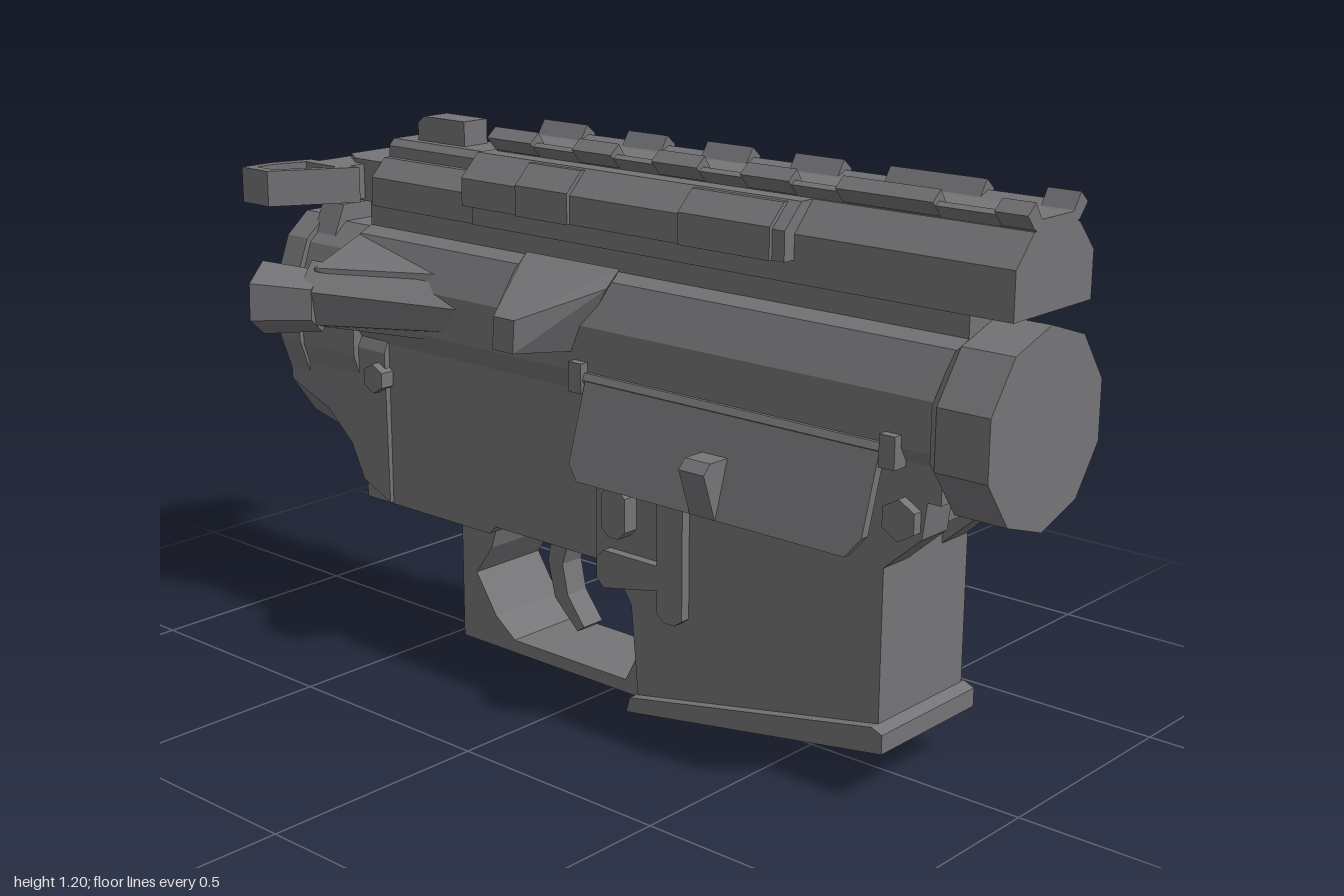
import * as THREE from 'three';
import { ConvexGeometry } from 'three/addons/geometries/ConvexGeometry.js';

const C = -0.025; // z of the middle plane
const V = (p) => new THREE.Vector3(...p);

export function createModel() {
  const model = new THREE.Group();
  const gunmetal = new THREE.MeshStandardMaterial({ color: 0x757578 });
  gunmetal.name = 'gunmetal grey';

  const add = (name, geometry) => {
    const mesh = new THREE.Mesh(geometry, gunmetal);
    mesh.name = name;
    model.add(mesh);
    return mesh;
  };
  const extrude = (pts, depth, hole) => {
    const shape = new THREE.Shape(pts.map((p) => new THREE.Vector2(...p)));
    if (hole) shape.holes.push(new THREE.Path(hole.map((p) => new THREE.Vector2(...p))));
    return new THREE.ExtrudeGeometry(shape, { depth, bevelEnabled: false });
  };
  // Side outline [x, y] from z0 to z1
  const side = (name, pts, z0, z1) => add(name, extrude(pts, z1 - z0).translate(0, 0, z0));
  // Symmetric cross-section, half given as [offset, y], from x0 to x1
  const section = (name, half, x0, x1) => {
    const pts = [...half, ...half.map(([z, y]) => [-z, y]).reverse()];
    return add(name, extrude(pts, x1 - x0).rotateY(Math.PI / 2).translate(x0, 0, C));
  };
  // Plan outline [x, z] from y0 to y1
  const plan = (name, pts, y0, y1, hole) => {
    const flip = (a) => a && a.map(([x, z]) => [x, -z]);
    return add(name, extrude(flip(pts), y1 - y0, flip(hole)).rotateX(-Math.PI / 2).translate(0, y0, 0));
  };
  const hull = (name, pts) => add(name, new ConvexGeometry(pts.map(V)));
  const box = (name, x0, x1, y0, y1, z0, z1) =>
    add(name, new THREE.BoxGeometry(x1 - x0, y1 - y0, z1 - z0)
      .translate((x0 + x1) / 2, (y0 + y1) / 2, (z0 + z1) / 2));
  // Faceted rod between two points
  const rod = (name, a, b, ra, rb, sides) => {
    const dir = V(b).sub(V(a));
    const g = new THREE.CylinderGeometry(rb, ra, dir.length(), sides).toNonIndexed();
    g.computeVertexNormals();
    g.applyQuaternion(new THREE.Quaternion().setFromUnitVectors(V([0, 1, 0]), dir.normalize()));
    const mid = V(a).add(V(b)).multiplyScalar(0.5);
    return add(name, g.translate(mid.x, mid.y, mid.z));
  };
  // Plate with cut corners
  const cutPlate = (name, x0, x1, y0, y1, z0, z1, c) => side(name, [
    [x0 + c, y0], [x1 - c, y0], [x1, y0 + c], [x1, y1 - c],
    [x1 - c, y1], [x0 + c, y1], [x0, y1 - c], [x0, y0 + c]], z0, z1);

  // Upper receiver and front nut
  section('upperReceiver', [[0.07, 0.995], [0.07, 0.935], [0.105, 0.92], [0.155, 0.83],
    [0.155, 0.73], [0.125, 0.68]], -0.77, 0.87);
  const ring = (name, x0, x1, r0, r1) => {
    const pts = [];
    for (let i = 0; i < 10; i++) {
      const a = (i / 10) * Math.PI * 2;
      for (const [x, r] of [[x0, r0], [x1, r1]]) {
        pts.push([x, 0.772 + Math.cos(a) * r, C + Math.sin(a) * r]);
      }
    }
    hull(name, pts);
  };
  ring('frontNut', 0.885, 1, 0.198, 0.198);
  ring('frontNutShoulder', 0.86, 0.885, 0.175, 0.198);
  cutPlate('backSideBump', 0.33, 0.55, 0.8, 0.89, -0.215, -0.12, 0.02);

  // Top rail housing
  section('railHousing', [[0.13, 0.995], [0.13, 1.09], [0.075, 1.15]], -0.37, 1);
  section('railCover', [[0.16, 1.04], [0.16, 1.1], [0.11, 1.15]], -0.37, 0.51);
  for (const [x0, x1] of [[-0.2, -0.05], [0.25, 0.48]]) {
    section('railClip', [[0.168, 1.04], [0.168, 1.105], [0.125, 1.147]], x0, x1);
  }
  section('railStrip', [[0.065, 1.145], [0.092, 1.175], [0.08, 1.182], [0.05, 1.17]], -0.35, 1);
  for (const [x0, x1] of [[-0.35, -0.22], [-0.1, 0.01], [0.12, 0.24], [0.35, 0.47],
    [0.58, 0.8], [0.93, 1]]) {
    for (const s of [-1, 1]) {
      const ear = [[0.05, 1.165], [0.075, 1.203], [0.1, 1.182], [0.075, 1.153]];
      hull('railTooth', ear.flatMap(([z, y]) => [[x0, y, C + s * z], [x1, y, C + s * z]]));
    }
  }

  // Rear sight base and block
  section('sightBase', [[0.125, 0.995], [0.125, 1.06], [0.085, 1.1]], -0.7, -0.36);
  plan('sightBaseTail', [[-0.85, -0.08], [-0.79, -0.12], [-0.69, -0.12], [-0.69, 0.07],
    [-0.79, 0.07], [-0.85, 0.03]], 0.995, 1.09);
  section('sightStep', [[0.07, 1.09], [0.07, 1.125], [0.055, 1.14]], -0.7, -0.36);
  side('sightBlock', [[-0.64, 1.12], [-0.49, 1.12], [-0.49, 1.195], [-0.62, 1.195],
    [-0.64, 1.18]], -0.06, 0.01);

  // Pulling handle: cross bar and two open loops
  box('handleBar', -0.87, -0.76, 1, 1.08, -0.2, 0.14);
  plan('handleLoop', [[-0.89, -0.18], [-0.8, -0.335], [-0.73, -0.335], [-0.73, -0.3], [-0.77, -0.18]],
    1, 1.08, [[-0.855, -0.205], [-0.79, -0.31], [-0.755, -0.31], [-0.795, -0.205]]);
  plan('handleLoop', [[-0.9, 0.11], [-0.93, 0.2], [-0.93, 0.285], [-0.84, 0.285], [-0.73, 0.11]],
    1, 1.08, [[-0.88, 0.14], [-0.905, 0.21], [-0.905, 0.26], [-0.85, 0.26], [-0.775, 0.14]]);

  // Rear of the receiver, lofted towards a chamfered lower heel
  const heel = [[-1, 0.45, 0.54], [-0.87, 0.42, 0.49], [-0.79, 0.36, 0.42],
    [-0.75, 0.295, 0.34], [-0.66, 0.295, 0.3]];
  for (let i = 0; i < heel.length - 1; i++) {
    hull('rearHeel', [heel[i], heel[i + 1]].flatMap(([x, low, edge]) => [-1, 1].flatMap((s) => [
      [x, low, C + s * 0.07], [x, edge, C + s * 0.135], [x, 0.66, C + s * 0.14], [x, 0.7, C + s * 0.12]])));
  }
  const collar = [[0.07, 0.94], [0.13, 0.89], [0.165, 0.8], [0.165, 0.65], [0.13, 0.55]];
  section('rearCollar', collar, -1, -0.93);
  section('rearCollarNeck', collar.map(([z, y]) => [z * 0.93, y - 0.01]), -0.93, -0.75);
  section('rearTab', [[0.1, 0.9], [0.07, 0.97]], -0.94, -0.865);

  // Lower receiver, magazine well and its base flange
  side('lowerReceiver', [[-0.75, 0.71], [-0.75, 0.295], [-0.34, 0.295], [-0.32, 0.315],
    [0.05, 0.315], [0.1, 0.24], [0.2, 0.24], [0.2, 0.71]], -0.16, 0.1);
  side('magazineWell', [[0, 0.7], [0, 0.315], [0.05, 0.315], [0.1, 0.24], [0.12, 0.03],
    [0.745, 0.13], [0.745, 0.7]], -0.172, 0.112);
  side('baseFlange', [[0.105, 0.005], [0.77, 0.11], [0.77, 0.15], [0.745, 0.16], [0.115, 0.04]], -0.182, 0.134);
  for (const z of [-0.165, 0.03]) {
    side('frontLug', [[0.74, 0.475], [0.83, 0.555], [0.84, 0.63], [0.87, 0.63], [0.87, 0.71],
      [0.74, 0.71]], z, z + 0.083);
  }
  side('frontLugCore', [[0.74, 0.555], [0.79, 0.58], [0.86, 0.65], [0.86, 0.71], [0.74, 0.71]], -0.1, 0.05);

  // Trigger guard and trigger
  side('triggerGuard', [[-0.455, 0.31], [-0.455, 0.015], [0.14, 0.015], [0.14, 0.25], [0.1, 0.24],
    [0.1, 0.14], [0.05, 0.045], [-0.29, 0.045], [-0.35, 0.09], [-0.41, 0.18], [-0.36, 0.25],
    [-0.34, 0.31]], -0.125, 0.075);
  side('trigger', [[-0.23, 0.33], [-0.25, 0.23], [-0.23, 0.145], [-0.16, 0.08], [-0.14, 0.095],
    [-0.19, 0.16], [-0.205, 0.23], [-0.17, 0.33]], -0.055, 0.005);

  // Forward plunger on the front side
  rod('plungerHousing', [-0.8, 0.79, 0.185], [-0.39, 0.79, 0.07], 0.085, 0.055, 6);
  hull('plungerFairing', [[-0.77, 0.93, 0.05], [-0.77, 0.86, 0.22], [-0.77, 0.72, 0.2], [-0.77, 0.7, 0.08],
    [-0.42, 0.87, 0.08], [-0.42, 0.72, 0.1]]);
  rod('plungerKnob', [-0.77, 0.78, 0.2], [-0.9, 0.78, 0.265], 0.07, 0.085, 6);

  // Wedge-shaped deflector
  hull('deflector', [[-0.25, 0.945, 0.06], [0.02, 0.945, 0.06], [0.02, 0.91, 0.1], [-0.25, 0.91, 0.1],
    [-0.05, 0.77, 0.12], [-0.21, 0.77, 0.12], [-0.16, 0.85, 0.25], [-0.1, 0.85, 0.25],
    [-0.1, 0.78, 0.255], [-0.16, 0.78, 0.255]]);

  // Hinged port cover hanging open, with hinge and catch
  const cover = [[0, 0.725], [0, 0.55], [0.03, 0.52], [0.72, 0.52], [0.75, 0.56], [0.75, 0.725]];
  const coverZ = (y) => 0.135 + (0.725 - y) * 0.3;
  hull('portCover', cover.flatMap(([x, y]) => [[x, y, coverZ(y) - 0.012], [x, y, coverZ(y) + 0.008]]));
  rod('coverHinge', [-0.04, 0.72, 0.13], [0.78, 0.72, 0.13], 0.016, 0.016, 6);
  for (const x of [-0.025, 0.77]) box('hingeTab', x - 0.018, x + 0.018, 0.69, 0.755, 0.09, 0.15);
  hull('coverCatch', [0.34, 0.405].flatMap((x) => [[x, 0.53, 0.18], [x, 0.52, 0.205],
    [x, 0.62, 0.24], [x, 0.64, 0.22], [x, 0.64, 0.15]]));

  // Magazine button and its fence
  cutPlate('magazineButton', 0.05, 0.115, 0.395, 0.505, 0.09, 0.15, 0.018);
  side('buttonFence', [[0.02, 0.29], [0.04, 0.27], [0.19, 0.3], [0.19, 0.25], [0.21, 0.235],
    [0.24, 0.235], [0.26, 0.25], [0.26, 0.52], [0.19, 0.52], [0.19, 0.355], [0.04, 0.355],
    [0.02, 0.335]], 0.1, 0.134);

  // Cross pins
  for (const [x, y, r] of [[-0.68, 0.6, 0.035], [0.79, 0.59, 0.042]]) {
    rod('crossPin', [x, y, -0.195], [x, y, 0.135], r, r, 6);
  }

  // Back side: raised panel, catch paddle, selector lever and small stops
  side('wellPanel', [[0.25, 0.13], [0.4, 0.15], [0.4, 0.43], [0.33, 0.43], [0.33, 0.47],
    [0.4, 0.47], [0.4, 0.62], [0.37, 0.65], [0.28, 0.65], [0.25, 0.62]], -0.183, -0.16);
  box('wellRearRib', 0.02, 0.06, 0.32, 0.68, -0.18, -0.15);
  cutPlate('catchPaddle', 0.08, 0.16, 0.59, 0.72, -0.21, -0.15, 0.025);
  box('catchStem', 0.1, 0.14, 0.5, 0.62, -0.2, -0.15);
  box('catchButton', 0.05, 0.11, 0.53, 0.59, -0.215, -0.15);
  rod('selectorPivot', [-0.41, 0.43, -0.2], [-0.41, 0.43, -0.14], 0.04, 0.04, 8);
  hull('selectorLever', [[-0.42, 0.41, -0.15], [-0.42, 0.465, -0.15], [-0.24, 0.415, -0.15], [-0.24, 0.46, -0.15],
    [-0.4, 0.435, -0.205], [-0.26, 0.435, -0.205]]);
  cutPlate('selectorStop', -0.33, -0.26, 0.48, 0.52, -0.185, -0.14, 0.01);
  cutPlate('rearStop', -0.55, -0.49, 0.46, 0.5, -0.185, -0.14, 0.012);

  return model;
}
